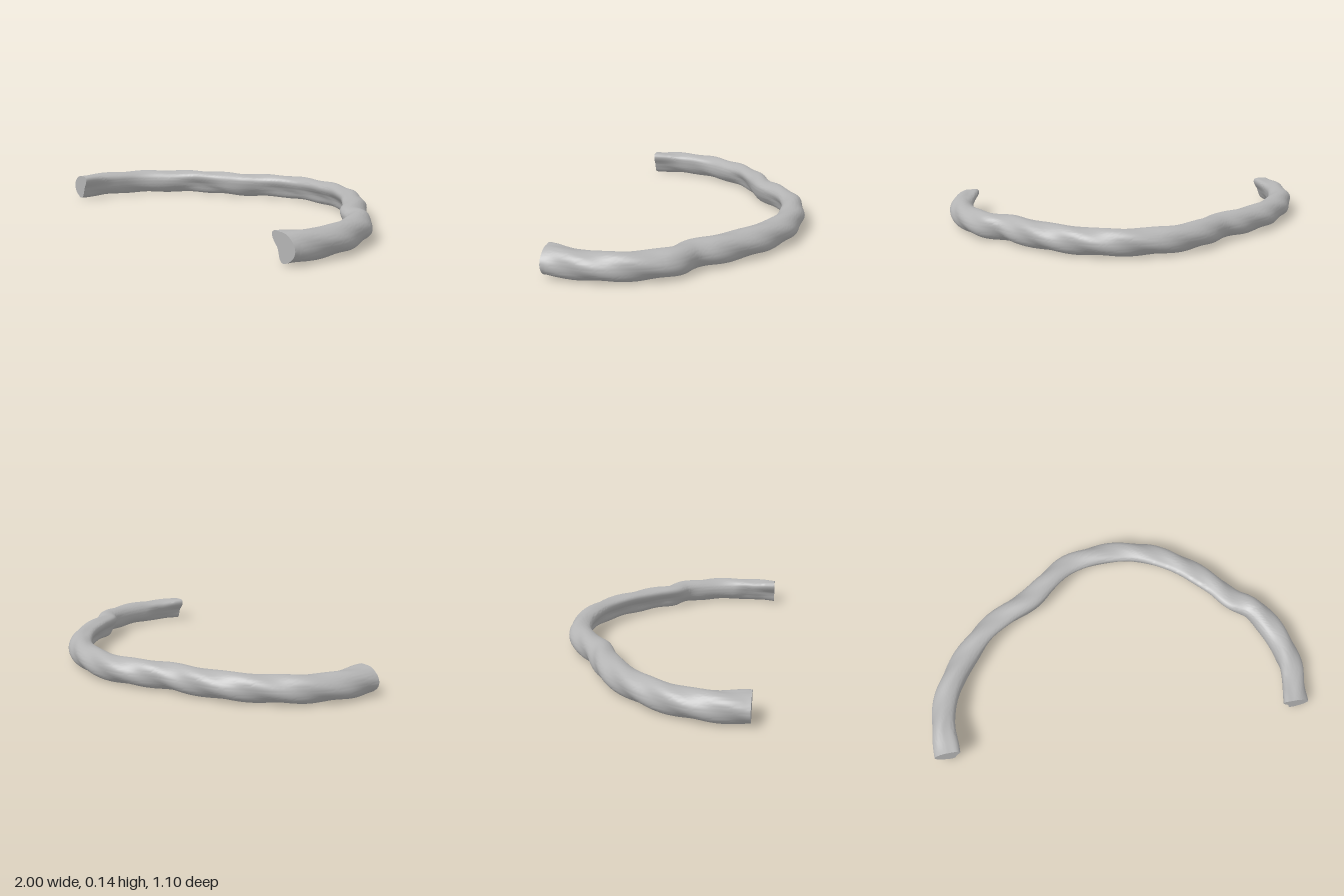
import * as THREE from 'three';
import { toCreasedNormals } from 'three/addons/utils/BufferGeometryUtils.js';

const RINGS = 260, SIDES = 56;

// Centre line seen from above, as [x, z]
const PATH = [
  [-0.93, 0.5], [-0.933, 0.34], [-0.89, 0.16], [-0.79, 0], [-0.66, -0.135], [-0.52, -0.225],
  [-0.375, -0.295], [-0.28, -0.37], [-0.15, -0.45], [0.01, -0.482], [0.176, -0.475], [0.29, -0.445],
  [0.4, -0.39], [0.49, -0.325], [0.57, -0.25], [0.64, -0.175], [0.71, -0.085], [0.805, -0.025],
  [0.87, 0.08], [0.915, 0.2], [0.932, 0.33], [0.92, 0.45], [0.908, 0.545],
];

// Along the band: [t, groove depth, inner top lip height]
const KEYS = [
  [0, 0.022, 0.023], [0.08, 0.012, 0.006], [0.18, 0.006, 0], [0.25, 0.028, 0.006], [0.34, 0.012, 0.004],
  [0.42, 0.028, 0.002], [0.55, 0.032, 0.005], [0.64, 0.034, 0.012], [0.74, 0.032, 0.01], [0.8, 0.014, 0.002],
  [0.85, 0.004, 0], [0.91, 0.008, 0], [0.95, 0.022, 0.008], [1, 0.03, 0.027],
];

function keyed(t, column) {
  let k = 0;
  while (k < KEYS.length - 2 && t > KEYS[k + 1][0]) k++;
  const f = THREE.MathUtils.smoothstep(t, KEYS[k][0], KEYS[k + 1][0]);
  return THREE.MathUtils.lerp(KEYS[k][column], KEYS[k + 1][column], f);
}

const bump = (angle, centre, width, power = 2) => {
  const d = Math.atan2(Math.sin(angle - centre), Math.cos(angle - centre));
  return Math.exp(-(Math.abs(d / width) ** power));
};

// Angle 0 points outward, PI/2 up, PI to the inside of the arc
function radius(angle, t) {
  const outer = 0.6 + 0.4 * Math.cos(angle);
  const twist = 0.0045 * outer * Math.cos(3 * (angle - Math.PI * 8 * t));
  const groove = keyed(t, 1) * bump(angle, Math.PI + 0.4, 0.8, 3);
  const lip = keyed(t, 2) * bump(angle, Math.PI - 0.7, 0.36);
  return 0.0665 + twist - groove + lip;
}

function bandGeometry() {
  const curve = new THREE.CatmullRomCurve3(PATH.map(([x, z]) => new THREE.Vector3(x, 0.07, z)));
  const up = new THREE.Vector3(0, 1, 0);
  const positions = [], index = [];
  for (let i = 0; i <= RINGS; i++) {
    const t = i / RINGS;
    const centre = curve.getPointAt(t);
    // A wide-set tangent keeps the rings from crossing at the kinks
    const tangent = curve.getPointAt(Math.min(1, t + 0.02)).sub(curve.getPointAt(Math.max(0, t - 0.02)));
    const outward = up.clone().cross(tangent).normalize();
    if (t < 0.01 || t > 0.99) outward.set(Math.sign(centre.x), 0, 0);
    for (let j = 0; j < SIDES; j++) {
      const angle = (j / SIDES) * Math.PI * 2;
      const r = radius(angle, t);
      const p = centre.clone().addScaledVector(outward, r * Math.cos(angle)).addScaledVector(up, r * Math.sin(angle));
      positions.push(p.x, p.y, p.z);
    }
  }
  for (let i = 0; i < RINGS; i++) {
    for (let j = 0; j < SIDES; j++) {
      const a = i * SIDES + j, b = i * SIDES + (j + 1) % SIDES;
      index.push(a, b, a + SIDES, b, b + SIDES, a + SIDES);
    }
  }
  // Cut ends
  const first = positions.length / 3, last = RINGS * SIDES;
  for (const t of [0, 1]) positions.push(...curve.getPointAt(t).toArray());
  for (let j = 0; j < SIDES; j++) {
    const next = (j + 1) % SIDES;
    index.push(first, next, j, first + 1, last + j, last + next);
  }
  const geometry = new THREE.BufferGeometry();
  geometry.setAttribute('position', new THREE.Float32BufferAttribute(positions, 3));
  geometry.setIndex(index);
  return toCreasedNormals(geometry, 0.7);
}

export function createModel() {
  const grey = new THREE.MeshStandardMaterial({ color: 0xb4b4b4 });
  grey.name = 'plain grey';
  const band = new THREE.Mesh(bandGeometry(), grey);
  band.name = 'twistedBand';

  // Centre the band and stand it on the ground
  band.geometry.computeBoundingBox();
  const box = band.geometry.boundingBox;
  const middle = box.getCenter(new THREE.Vector3());
  band.geometry.translate(-middle.x, -box.min.y, -middle.z);

  const group = new THREE.Group();
  group.name = 'openTwistedRing';
  group.add(band);
  return group;
}
